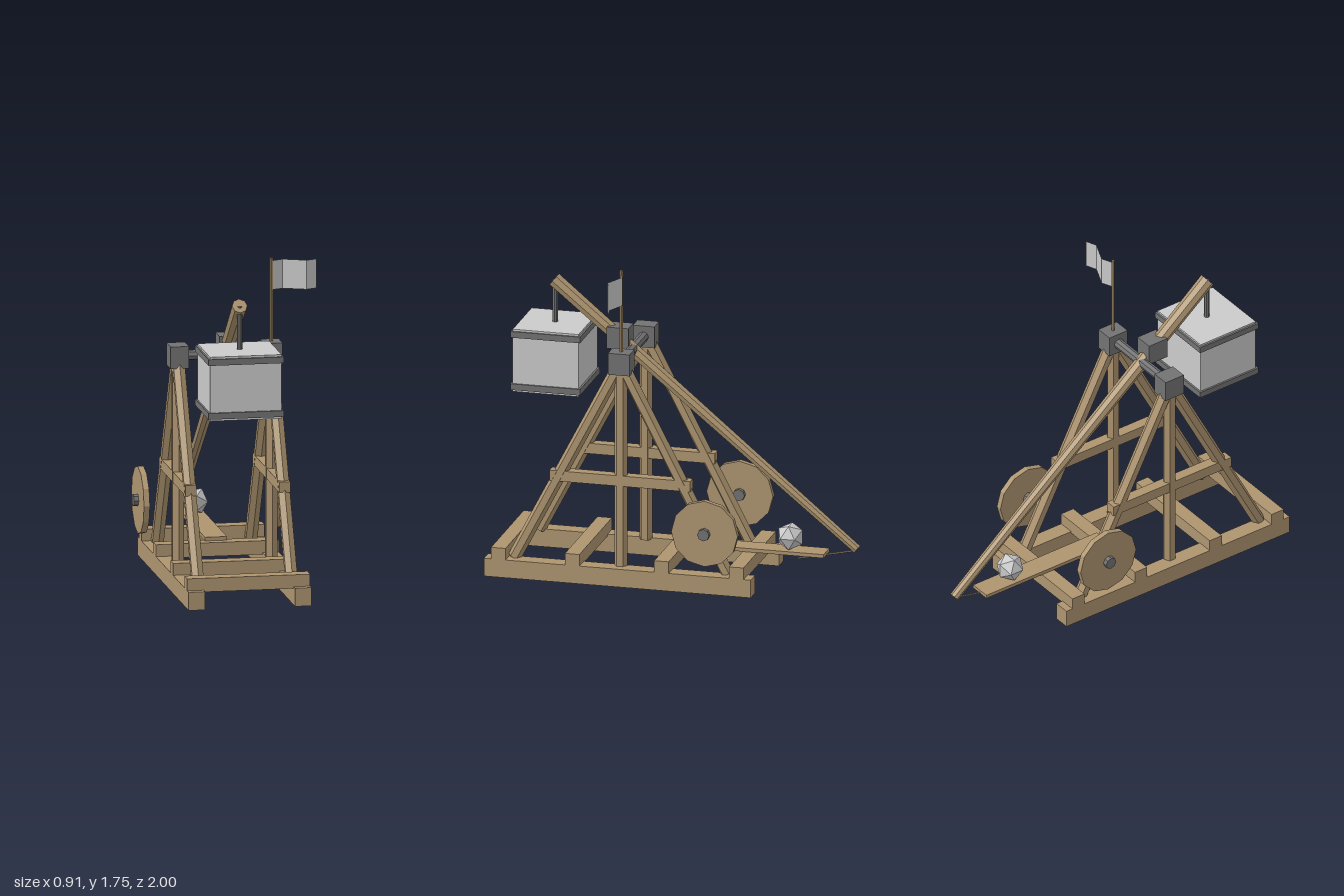
import * as THREE from 'three';

export function createModel() {
  const model = new THREE.Group();
  model.name = 'trebuchet';
  const CX = -0.05; // centre line of the machine
  const AZ = 0.26;  // z of the pivot axle

  const mat = (color, side = THREE.FrontSide) =>
    new THREE.MeshStandardMaterial({ color, flatShading: true, side });
  const wood = mat(0xae9570);
  const iron = mat(0x737373);
  const grey = mat(0xcccccc);
  const cloth = mat(0xcccccc, THREE.DoubleSide);

  function add(name, geometry, material, x = 0, y = 0, z = 0) {
    const mesh = new THREE.Mesh(geometry, material);
    mesh.name = name;
    mesh.position.set(x, y, z);
    model.add(mesh);
    return mesh;
  }
  const box = (name, material, w, h, d, x, y, z) =>
    add(name, new THREE.BoxGeometry(w, h, d), material, x, y, z);

  // Round or faceted bar between two points
  function bar(name, material, from, to, r0, r1, sides) {
    const a = new THREE.Vector3(...from);
    const b = new THREE.Vector3(...to);
    const dir = b.clone().sub(a);
    const mesh = add(name, new THREE.CylinderGeometry(r1, r0, dir.length(), sides), material);
    mesh.position.copy(a).add(b).multiplyScalar(0.5);
    mesh.quaternion.setFromUnitVectors(new THREE.Vector3(0, 1, 0), dir.normalize());
    return mesh;
  }

  // Base cross beams
  for (const z of [0.92, 0.51, 0.015, -0.4])
    box('crossBeam', wood, 0.67, 0.075, 0.08, CX, 0.1275, z);

  // Mirrored side frames
  for (const s of [-1, 1]) {
    const side = s > 0 ? 'left' : 'right';
    const x = CX + s * 0.255;
    box(side + 'Rail', wood, 0.09, 0.1, 1.48, CX + s * 0.29, 0.05, 0.26);
    bar(side + 'Post', wood, [x, 0.09, AZ], [x, 1.24, AZ], 0.036, 0.036, 6);
    for (const d of [-1, 1])
      bar(side + (d > 0 ? 'FrontLeg' : 'BackLeg'), wood,
        [x, 0.1, AZ + d * 0.59], [x, 1.24, AZ], 0.036, 0.036, 6);
    box(side + 'Brace', wood, 0.06, 0.058, 0.78, x, 0.58, AZ);
    box(side + 'BearingBlock', iron, 0.1, 0.12, 0.12, x, 1.24, AZ);

    // Wheel and its hub
    const wx = CX + s * 0.364;
    bar(side + 'Wheel', wood, [wx - 0.016, 0.353, -0.235], [wx + 0.016, 0.353, -0.235], 0.184, 0.184, 12);
    bar(side + 'WheelHub', iron, [wx - 0.042, 0.353, -0.235], [wx + 0.042, 0.353, -0.235], 0.033, 0.033, 8);
  }

  // Axle, throwing arm and its sleeve
  bar('axle', iron, [CX - 0.25, 1.24, AZ], [CX + 0.25, 1.24, AZ], 0.028, 0.028, 8);
  bar('throwingArm', wood, [CX, 0.212, -0.98], [CX, 1.592, 0.7], 0.026, 0.042, 8);
  box('armSleeve', iron, 0.105, 0.12, 0.12, CX, 1.303, 0.335);

  // Hanging counterweight
  bar('hanger', iron, [CX, 1.34, 0.695], [CX, 1.59, 0.695], 0.015, 0.015, 8);
  box('counterweight', grey, 0.39, 0.35, 0.365, CX, 1.18, 0.695);
  for (const y of [1.033, 1.327])
    box('counterweightBand', iron, 0.41, 0.034, 0.387, CX, y, 0.695);

  // Trough, stone and sling
  box('trough', wood, 0.12, 0.02, 0.82, CX, 0.176, -0.4);
  add('stone', new THREE.IcosahedronGeometry(0.077, 0), grey, CX, 0.255, -0.61);
  bar('sling', wood, [CX, 0.205, -0.975], [CX, 0.134, -0.65], 0.005, 0.005, 5);

  // Flag pole and waving flag
  bar('flagPole', wood, [0.205, 1.28, AZ], [0.205, 1.755, AZ], 0.009, 0.009, 6);
  const flag = new THREE.PlaneGeometry(0.24, 0.16, 4, 1);
  const p = flag.attributes.position;
  for (let i = 0; i < p.count; i++)
    p.setZ(i, -0.026 * Math.sin((p.getX(i) / 0.24 + 0.5) * Math.PI * 2));
  flag.computeVertexNormals();
  add('flag', flag, cloth, 0.332, 1.66, AZ);

  return model;
}
